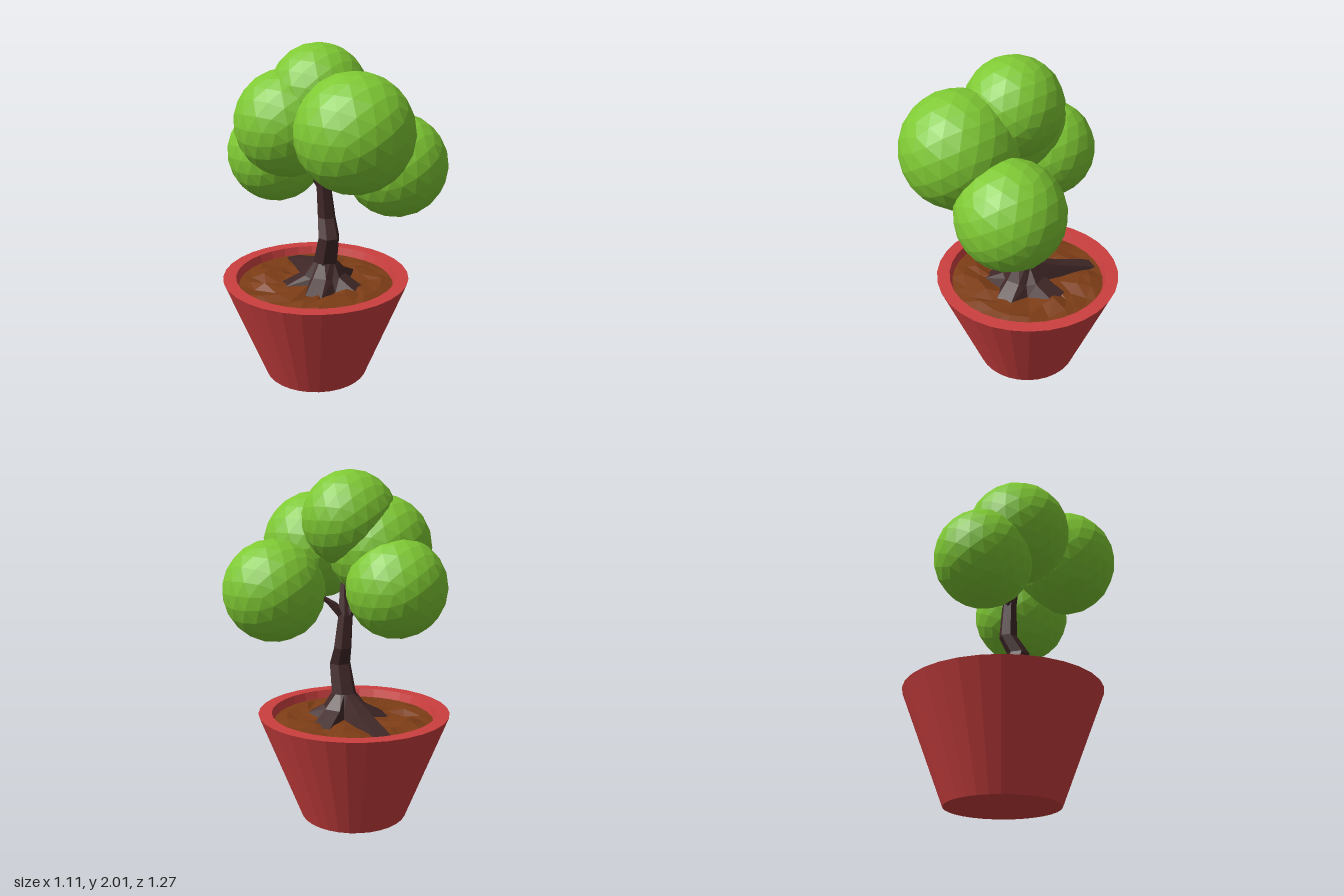
import * as THREE from 'three';

const paint = (color) => new THREE.MeshStandardMaterial({ color, flatShading: true });

// Skin a stack of rings (counterclockwise from above, listed bottom to top).
function loft(rings, material, name) {
  const n = rings[0].length, pos = [];
  for (let i = 0; i < rings.length - 1; i++) {
    for (let j = 0; j < n; j++) {
      const k = (j + 1) % n;
      const a = rings[i][j], b = rings[i][k], c = rings[i + 1][k], d = rings[i + 1][j];
      pos.push(...a, ...b, ...c, ...a, ...c, ...d);
    }
  }
  const geo = new THREE.BufferGeometry();
  geo.setAttribute('position', new THREE.Float32BufferAttribute(pos, 3));
  geo.computeVertexNormals();
  const mesh = new THREE.Mesh(geo, material);
  mesh.name = name;
  return mesh;
}

// Horizontal ring of n points around (x, y, z).
const ring = ([x, y, z, r], n) => Array.from({ length: n }, (_, j) => {
  const t = (j / n) * Math.PI * 2;
  return [x + r * Math.sin(t), y, z + r * Math.cos(t)];
});

export function createModel() {
  const group = new THREE.Group();
  const red = paint(0xcc3f3f), brown = paint(0x7d3d16), bark = paint(0x412828), green = paint(0x7fc934);
  const potZ = -0.08;

  // Pot: tapered wall, flat rim, inner wall and base
  const profile = [[0, 0], [0.312, 0], [0.557, 0.625], [0.48, 0.625], [0.455, 0.54]];
  const pot = new THREE.Mesh(
    new THREE.LatheGeometry(profile.map((p) => new THREE.Vector2(...p)), 32), red);
  pot.name = 'pot';
  pot.position.z = potZ;
  group.add(pot);

  // Soil: uneven low-poly disc
  let seed = 7;
  const rand = () => (seed = (seed * 16807) % 2147483647) / 2147483647;
  const soilRings = [[0.47, 0.575], [0.39, 0.585], [0.31, 0.59], [0.21, 0.585], [0, 0.6]].map(([r, y], i) =>
    ring([0, y, potZ, r], 24).map((p) => (
      i > 0 && i < 4 ? [p[0] + (rand() - 0.5) * 0.04, p[1] + (rand() - 0.5) * 0.035, p[2] + (rand() - 0.5) * 0.04] : p)));
  group.add(loft(soilRings, brown, 'soil'));

  // Roots: a flared star, each root with a blunt tip and a valley after it
  const core = [0.015, -0.018];
  const tips = [[0.07, 0.2, 0.05], [0.28, -0.06, 0.06], [0.2, -0.46, 0.045], [-0.17, -0.19, 0.05], [-0.19, 0.07, 0.05]];
  const foot = [], knee = [], collar = [];
  const angleOf = ([x, z]) => Math.atan2(x - core[0], z - core[1]);
  tips.forEach((tip, i) => {
    const t = angleOf(tip);
    let gap = angleOf(tips[(i + 1) % tips.length]) - t;
    if (gap < 0) gap += Math.PI * 2;
    const at = (angle, r, y) => [core[0] + r * Math.sin(angle), y, core[1] + r * Math.cos(angle)];
    const dist = Math.hypot(tip[0] - core[0], tip[1] - core[1]);
    for (const s of [-1, 1]) {
      const [w, c] = [tip[2] * s, Math.cos(t)];
      foot.push([tip[0] + w * c, 0.585, tip[1] - w * Math.sin(t)]);
      const k = at(t, dist * 0.5, dist > 0.35 ? 0.662 : 0.652);
      knee.push([k[0] + w * 0.8 * c, k[1], k[2] - w * 0.8 * Math.sin(t)]);
      collar.push(at(t + s * 0.25, 0.072, 0.73));
    }
    const v = t + gap / 2;
    foot.push(at(v, 0.15, 0.57));
    knee.push(at(v, 0.11, 0.635));
    collar.push(at(v, 0.07, 0.73));
  });
  group.add(loft([foot, knee, collar], bark, 'roots'));

  // Trunk and branches: crooked tapering stems of [x, y, z, radius]
  const stems = {
    trunk: [[0.015, 0.72, -0.018, 0.075], [-0.01, 0.895, 0.032, 0.064], [0.027, 1.0, -0.018, 0.054],
      [0.01, 1.19, -0.025, 0.044], [-0.01, 1.34, -0.005, 0.032], [-0.03, 1.5, -0.01, 0.02]],
    frontBranch: [[0.01, 1.17, -0.02, 0.036], [0.06, 1.26, 0.04, 0.032], [0.13, 1.33, 0.14, 0.025]],
    backBranch: [[0.005, 1.18, -0.03, 0.034], [-0.02, 1.27, -0.08, 0.03], [-0.05, 1.35, -0.18, 0.022]],
  };
  for (const [name, path] of Object.entries(stems)) {
    group.add(loft(path.map((p) => ring(p, name === 'trunk' ? 6 : 5)), bark, name));
  }

  // Foliage: faceted balls of [x, y, z, radius]
  const balls = [
    [-0.045, 1.73, -0.012, 0.275], [-0.13, 1.565, 0.31, 0.322], [0.245, 1.325, 0.31, 0.296],
    [-0.08, 1.36, -0.315, 0.285], [-0.17, 1.57, -0.13, 0.3],
  ];
  const foliage = new THREE.Group();
  foliage.name = 'foliage';
  balls.forEach(([x, y, z, r], i) => {
    const ball = new THREE.Mesh(new THREE.IcosahedronGeometry(r, 3), green);
    ball.name = `foliageBall${i + 1}`;
    ball.position.set(x, y, z);
    foliage.add(ball);
  });
  group.add(foliage);
  return group;
}
